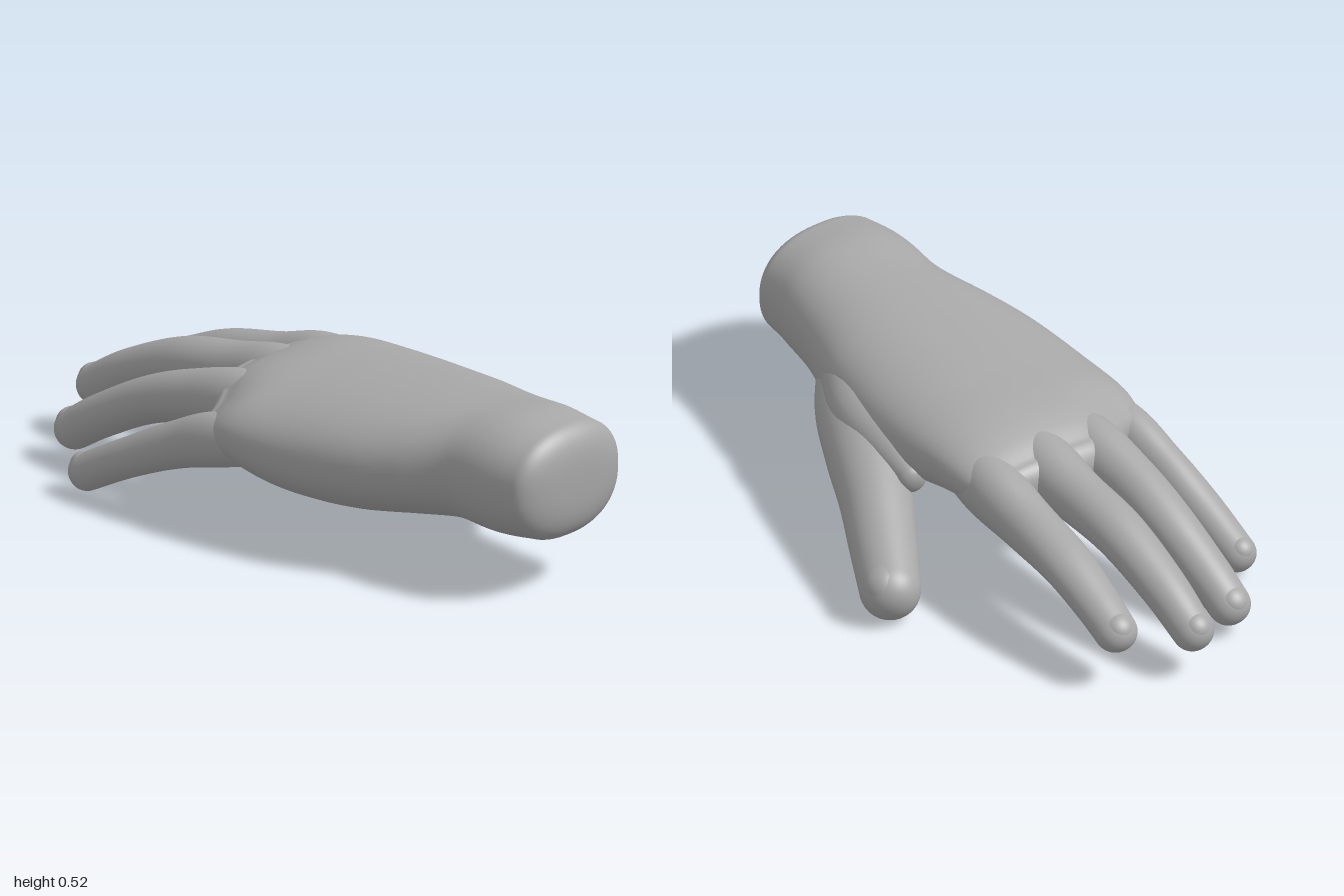
import * as THREE from 'three';
import { mergeVertices } from 'three/addons/utils/BufferGeometryUtils.js';

const UP = new THREE.Vector3(0, 1, 0);

// Side and up axes of a cross-section whose path runs along t
function frame(t) {
  const side = new THREE.Vector3().crossVectors(UP, t).normalize();
  return { side, up: new THREE.Vector3().crossVectors(t, side) };
}

// Skin through sections [x, y, z, halfWidth, halfHeight], rounded off at both ends.
// power > 2 squares the section; an end power below 1 makes that cap flatter.
function loft(sections, { power = 2, endPowers = [1, 0.9], caps = [0.05, 0.05], steps = 44, around = 40, warp } = {}) {
  const path = new THREE.CatmullRomCurve3(sections.map(s => new THREE.Vector3(s[0], s[1], s[2])), false, 'catmullrom');
  const size = new THREE.CatmullRomCurve3(sections.map(s => new THREE.Vector3(s[3], s[4], 0)), false, 'catmullrom');
  const rings = [];
  const capSteps = 12;
  const add = (u, push, scale) => {
    const t = path.getTangent(u);
    rings.push({ c: path.getPoint(u).addScaledVector(t, push), r: size.getPoint(u), scale, ...frame(t) });
  };
  const cap = (end, i) => {
    const a = (i / capSteps) * Math.PI / 2;
    const push = (end ? 1 : -1) * caps[end] * Math.sin(a);
    add(end, push, Math.pow(Math.max(Math.cos(a), 1e-6), endPowers[end]));
  };
  for (let i = capSteps; i > 0; i--) cap(0, i);
  for (let i = 0; i <= steps; i++) add(i / steps, 0, 1);
  for (let i = 1; i <= capSteps; i++) cap(1, i);

  const positions = [], index = [];
  const bulge = v => Math.sign(v) * Math.pow(Math.abs(v), 2 / power);
  rings.forEach(({ c, r, scale, side, up }, i) => {
    for (let j = 0; j < around; j++) {
      const a = (j / around) * Math.PI * 2;
      const p = c.clone()
        .addScaledVector(side, bulge(Math.cos(a)) * r.x * scale)
        .addScaledVector(up, bulge(Math.sin(a)) * r.y * scale);
      if (warp) warp(p, Math.sin(a) * scale);
      positions.push(p.x, p.y, p.z);
      if (i === rings.length - 1) continue;
      const k = (j + 1) % around, n = i * around;
      index.push(n + j, n + k, n + around + j, n + k, n + around + k, n + around + j);
    }
  });
  const geometry = new THREE.BufferGeometry();
  geometry.setAttribute('position', new THREE.Float32BufferAttribute(positions, 3));
  geometry.setIndex(index);
  const merged = mergeVertices(geometry, 1e-5);
  merged.computeVertexNormals();
  return merged;
}

export function createModel() {
  const group = new THREE.Group();
  group.name = 'hand';
  const skin = new THREE.MeshStandardMaterial({ color: 0xa8a8a8 });
  skin.name = 'grey skin';

  const addMesh = (name, geometry) => {
    const mesh = new THREE.Mesh(geometry, skin);
    mesh.name = name;
    group.add(mesh);
    return mesh;
  };

  // Wrist and palm, thinning to a web between the fingers
  addMesh('palmAndWrist', loft([
    [-0.170, 0.338, 0.92, 0.222, 0.172],
    [-0.168, 0.340, 0.80, 0.236, 0.184],
    [-0.150, 0.338, 0.65, 0.252, 0.174],
    [-0.145, 0.325, 0.48, 0.305, 0.178],
    [-0.150, 0.312, 0.30, 0.345, 0.180],
    [-0.150, 0.312, 0.10, 0.360, 0.168],
    [-0.150, 0.326, -0.07, 0.356, 0.142],
    [-0.150, 0.326, -0.19, 0.345, 0.116],
    [-0.150, 0.322, -0.27, 0.325, 0.082],
  ], {
    power: 2.3, endPowers: [0.65, 1], caps: [0.07, 0.06], steps: 64, around: 64,
    warp: (p, s) => {
      // lower on the little finger side, hollow below
      const forward = THREE.MathUtils.smoothstep(-p.z, -0.7, 0.1);
      const x = p.x + 0.15;
      p.y += 0.08 * x * forward;
      if (s < 0) p.y -= s * 0.035 * Math.exp(-x * x * 40) * forward;
      // knuckle line sweeps back toward the little finger
      const sweep = THREE.MathUtils.smoothstep(-p.z, 0, 0.3);
      p.z += 0.09 * THREE.MathUtils.smoothstep(-p.x, 0.2, 0.42) * sweep;
    },
  }));

  // Digits: path from inside the palm to the last joint, then a domed tip
  const digits = {
    indexFinger: { points: [
      [0.080, 0.335, 0.04, 0.060, 0.060],
      [0.104, 0.332, -0.20, 0.088, 0.098],
      [0.112, 0.302, -0.40, 0.082, 0.083],
      [0.124, 0.275, -0.60, 0.078, 0.067],
      [0.132, 0.222, -0.75, 0.069, 0.061],
      [0.137, 0.180, -0.842, 0.064, 0.060]] },
    middleFinger: { points: [
      [-0.080, 0.340, 0.04, 0.060, 0.070],
      [-0.075, 0.344, -0.20, 0.092, 0.097],
      [-0.070, 0.325, -0.40, 0.081, 0.083],
      [-0.070, 0.300, -0.60, 0.078, 0.073],
      [-0.070, 0.225, -0.80, 0.070, 0.066],
      [-0.070, 0.148, -0.938, 0.062, 0.062]] },
    ringFinger: { points: [
      [-0.240, 0.325, 0.04, 0.060, 0.070],
      [-0.255, 0.325, -0.20, 0.086, 0.095],
      [-0.265, 0.297, -0.40, 0.077, 0.080],
      [-0.268, 0.245, -0.57, 0.073, 0.070],
      [-0.275, 0.158, -0.74, 0.068, 0.065],
      [-0.280, 0.097, -0.838, 0.064, 0.062]] },
    littleFinger: { points: [
      [-0.400, 0.295, 0.08, 0.050, 0.060],
      [-0.434, 0.275, -0.14, 0.068, 0.082],
      [-0.453, 0.222, -0.31, 0.062, 0.070],
      [-0.470, 0.150, -0.47, 0.060, 0.060],
      [-0.480, 0.072, -0.622, 0.055, 0.057]] },
    thumb: { roll: 0.6, points: [
      [-0.020, 0.300, 0.64, 0.070, 0.080],
      [0.080, 0.254, 0.44, 0.125, 0.116],
      [0.186, 0.222, 0.25, 0.126, 0.122],
      [0.282, 0.184, 0.09, 0.108, 0.110],
      [0.360, 0.143, -0.04, 0.100, 0.099],
      [0.440, 0.094, -0.175, 0.090, 0.092]] },
  };

  for (const [name, { points, roll = 0 }] of Object.entries(digits)) {
    const [x, y, z, w, h] = points.at(-1);
    addMesh(name, loft(points, { caps: [0.06, w * 0.98] }));

    // Nail: an oval barely proud of the fingertip
    const previous = new THREE.Vector3(...points.at(-2).slice(0, 3));
    const end = new THREE.Vector3(x, y, z);
    const t = end.clone().sub(previous).normalize();
    const { side, up } = frame(t);
    const normal = up.clone().multiplyScalar(Math.cos(roll)).addScaledVector(side, -Math.sin(roll));
    const across = new THREE.Vector3().crossVectors(normal, t);
    const nail = addMesh(name + 'Nail', new THREE.SphereGeometry(1, 24, 16));
    nail.scale.set(w * 0.72, h * 0.65, w * 0.75);
    nail.quaternion.setFromRotationMatrix(new THREE.Matrix4().makeBasis(across, normal, t));
    nail.position.copy(end).addScaledVector(normal, h * 0.35 + 0.004).addScaledVector(t, w * 0.05);
  }

  // Soft web filling the groove between thumb and palm
  addMesh('thumbWeb', loft([
    [0.050, 0.325, 0.52, 0.090, 0.090],
    [0.115, 0.312, 0.33, 0.118, 0.090],
    [0.165, 0.290, 0.15, 0.085, 0.075],
    [0.195, 0.262, 0.04, 0.045, 0.050],
  ], { caps: [0.06, 0.035], steps: 24 }));

  return group;
}
